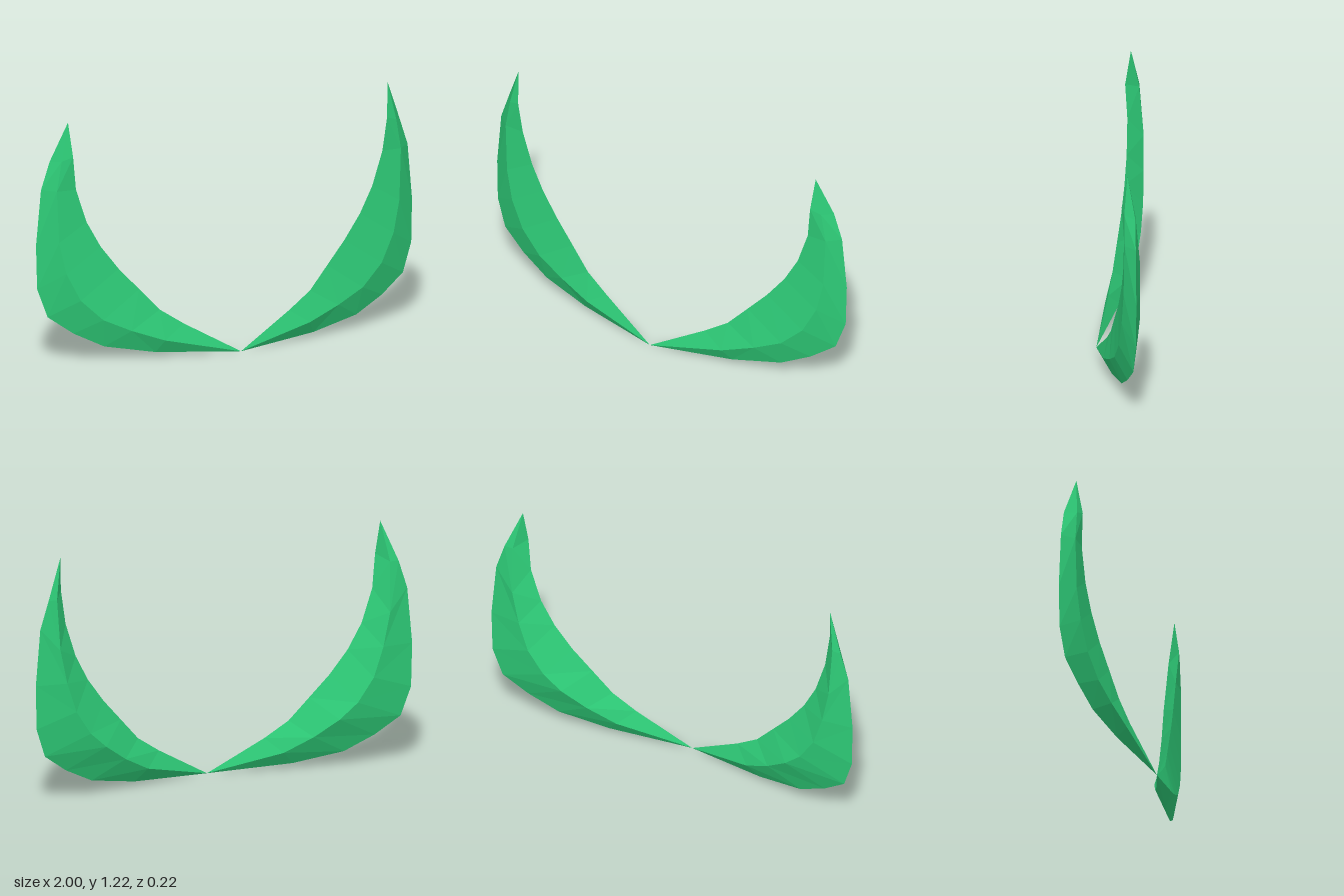
import * as THREE from 'three';

// Four edges of one horn, each listed from the base outwards [x, y, z]
const outerEdge = [
  [0.42, 0.025, 0.03], [0.67, 0.07, -0.02], [0.82, 0.145, -0.05], [0.945, 0.235, -0.08],
  [0.995, 0.38, -0.093], [1, 0.6, -0.095], [0.975, 0.88, -0.092], [0.93, 1.02, -0.09],
];
const frontRidge = [
  [0.385, 0.09, 0.07], [0.55, 0.15, 0.04], [0.69, 0.215, 0.015], [0.8, 0.32, -0.007],
  [0.87, 0.46, -0.022], [0.905, 0.62, -0.032], [0.915, 0.88, -0.036], [0.89, 1.03, -0.035],
];
const innerEdge = [
  [0.28, 0.16, 0.055], [0.4, 0.24, 0.035], [0.5, 0.35, 0.015], [0.6, 0.46, -0.005],
  [0.69, 0.58, -0.02], [0.76, 0.71, -0.03], [0.815, 0.88, -0.033], [0.835, 1.05, -0.022],
];
const backRidge = [
  [0.36, 0.09, 0], [0.5, 0.165, -0.045], [0.62, 0.25, -0.085], [0.71, 0.33, -0.1],
  [0.79, 0.45, -0.11], [0.84, 0.6, -0.112], [0.876, 0.77, -0.112], [0.885, 1.02, -0.09],
];
const base = [0, 0, 0.11];
const tip = [0.85, 1.22, -0.05];

// Faceted horn skinned between the four edges; side is +1 (left) or -1 (right)
function hornGeometry(side) {
  const edges = [outerEdge, frontRidge, innerEdge, backRidge].map((e) => [base, ...e, tip]);
  const positions = [];
  const triangle = (a, b, c) => {
    const corners = side > 0 ? [a, b, c] : [a, c, b];
    for (const [x, y, z] of corners) positions.push(x * side, y, z);
  };
  const last = edges[0].length - 1;
  edges.forEach((edge, j) => {
    const next = edges[(j + 1) % edges.length];
    for (let i = 0; i < last; i++) {
      if (i < last - 1) triangle(edge[i], edge[i + 1], next[i + 1]);
      if (i > 0) triangle(edge[i], i < last - 1 ? next[i + 1] : tip, next[i]);
    }
  });
  const geometry = new THREE.BufferGeometry();
  geometry.setAttribute('position', new THREE.Float32BufferAttribute(positions, 3));
  geometry.computeVertexNormals(); // unshared corners give flat facets
  return geometry;
}

export function createModel() {
  const model = new THREE.Group();
  model.name = 'crescentHorns';
  const green = new THREE.MeshStandardMaterial({ color: 0x2ecc78 });
  green.name = 'emerald green';

  for (const side of [1, -1]) {
    const horn = new THREE.Mesh(hornGeometry(side), green);
    horn.name = side > 0 ? 'leftHorn' : 'rightHorn';
    model.add(horn);
  }
  return model;
}
